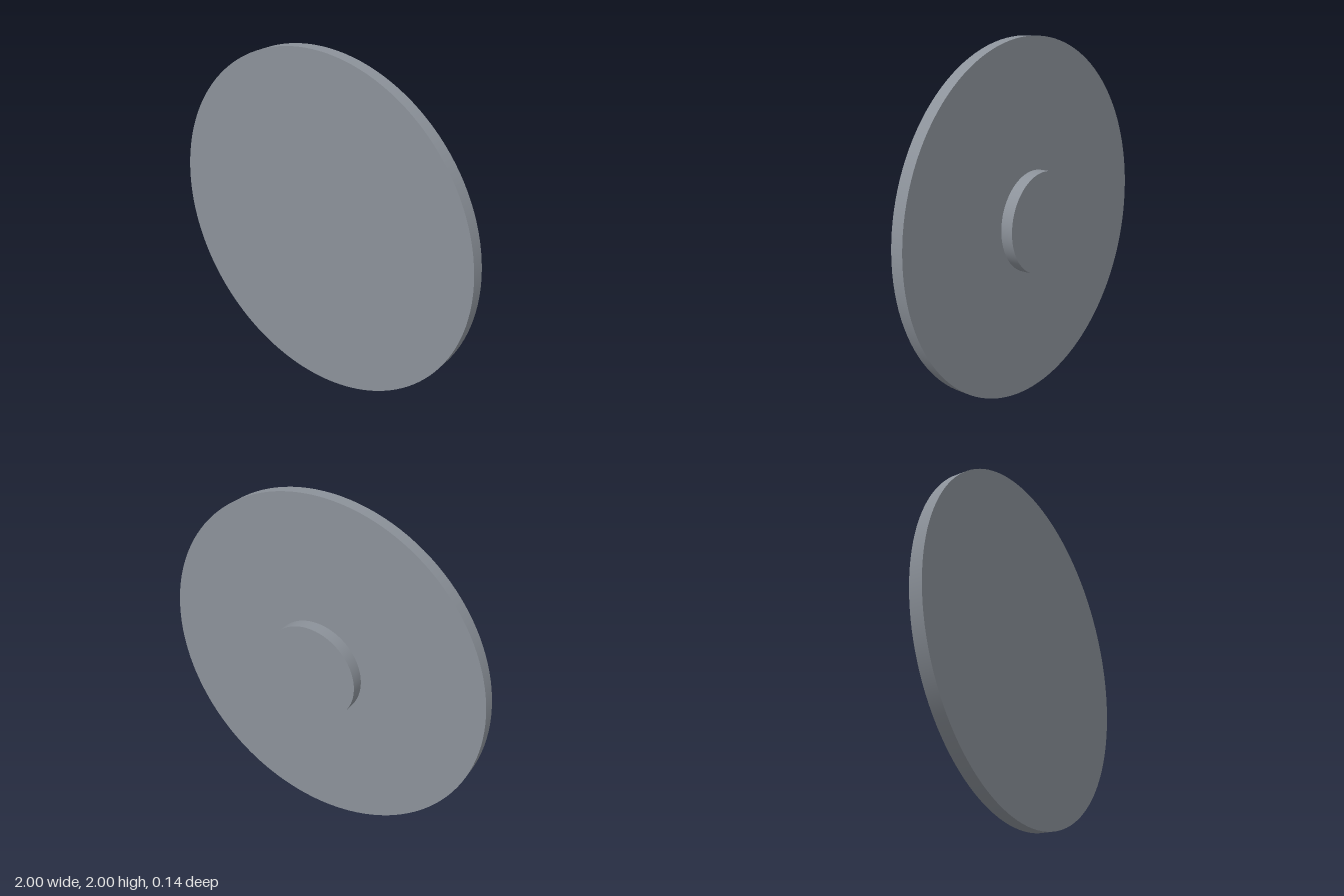
import * as THREE from 'three';

const THICKNESS = 0.0714;

// Round plate facing +z, centred at height 1
function roundPlate(name, radius, z, material) {
  const geometry = new THREE.CylinderGeometry(radius, radius, THICKNESS, 128);
  geometry.rotateX(Math.PI / 2);
  const mesh = new THREE.Mesh(geometry, material);
  mesh.name = name;
  mesh.position.set(0, 1, z);
  return mesh;
}

export function createModel() {
  const group = new THREE.Group();
  group.name = 'discWithHub';
  // Blue-grey steel
  const material = new THREE.MeshStandardMaterial({ color: 0x8c929a });

  // Large front disc and the small boss on its back
  group.add(roundPlate('disc', 1, THICKNESS / 2, material));
  group.add(roundPlate('rearHub', 0.286, -THICKNESS / 2, material));
  return group;
}
